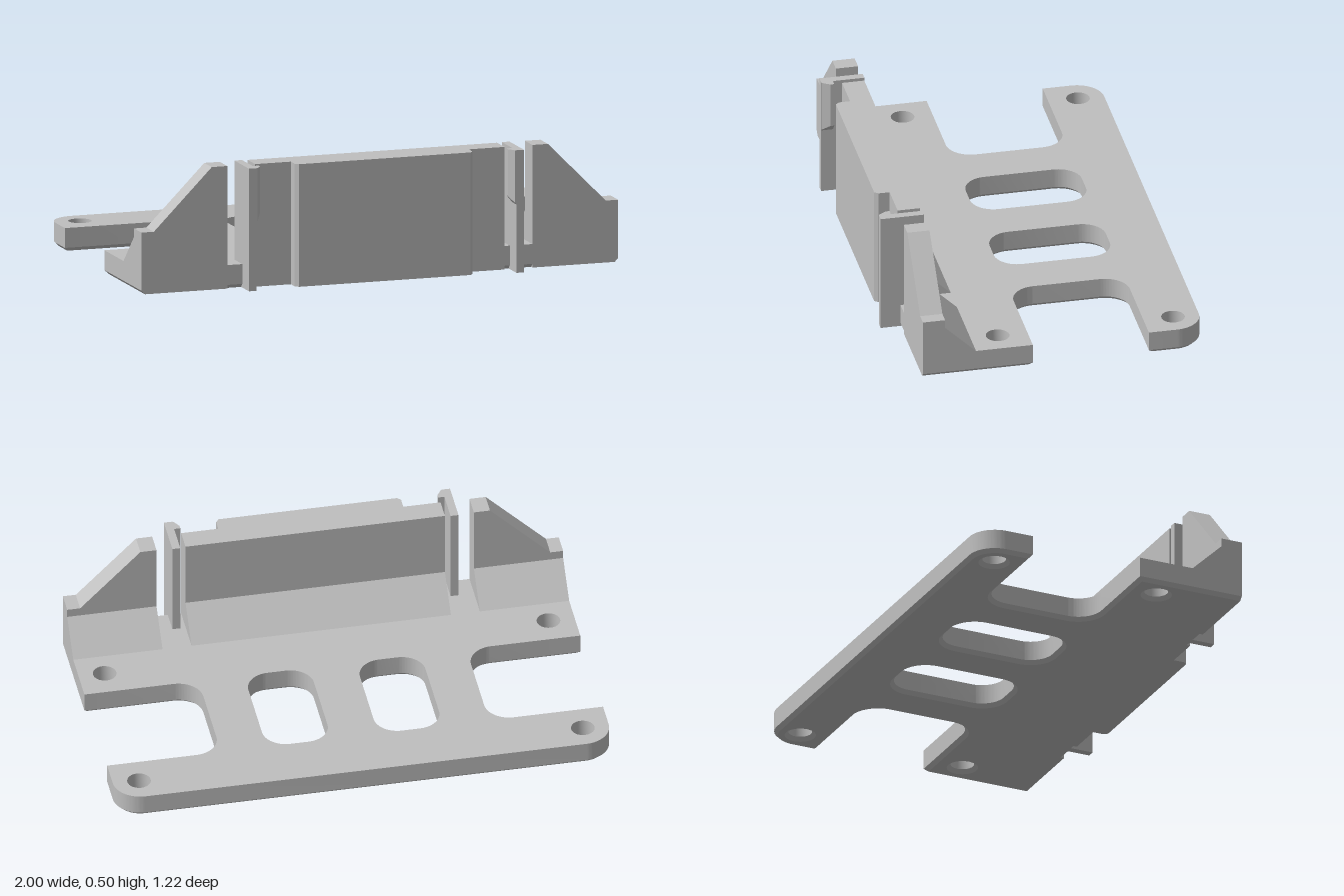
import * as THREE from 'three';
import { toCreasedNormals } from 'three/addons/utils/BufferGeometryUtils.js';

const grey = new THREE.MeshStandardMaterial({ color: 0xbfbfbf });
grey.name = 'grey plastic';

const T = 0.095, C = 0.015, H = 0.495; // plate thickness, bottom chamfer, wall height
const poly = (pts) => new THREE.Shape(pts.map(([x, y]) => new THREE.Vector2(x, y)));
const flat = { bevelEnabled: false };

function add(group, name, geometry) {
  const mesh = new THREE.Mesh(geometry, grey);
  mesh.name = name;
  group.add(mesh);
}

// Prism standing on y0, from an outline of [x, z] points
function upright(pts, y0, y1) {
  const g = new THREE.ExtrudeGeometry(poly(pts.map(([x, z]) => [x, -z])), { depth: y1 - y0, ...flat });
  return g.rotateX(-Math.PI / 2).translate(0, y0, 0);
}

function box(x0, x1, y0, y1, z0, z1) {
  return new THREE.BoxGeometry(x1 - x0, y1 - y0, z1 - z0)
    .translate((x0 + x1) / 2, (y0 + y1) / 2, (z0 + z1) / 2);
}

// Sloped rib along the back of the wall
function fillet(x0, x1) {
  const s = poly([[-0.315, T], [-0.44, 0.215], [-0.45, 0.215], [-0.45, T - 0.01], [-0.315, T - 0.01]]);
  return new THREE.ExtrudeGeometry(s, { depth: x1 - x0, ...flat }).rotateY(Math.PI / 2).translate(x0, 0, 0);
}

// Base plate with side notches, two slots and four screw holes (shape y = -z)
function plateGeometry() {
  const s = new THREE.Shape();
  const r = 0.1, xi = 0.54, back = 0.385, front = -0.085;
  s.moveTo(-1, -0.53).lineTo(1, -0.53).lineTo(1, front).lineTo(xi + r, front);
  s.absarc(xi + r, front + r, r, -Math.PI / 2, -Math.PI, true);
  s.absarc(xi + r, back - r, r, Math.PI, Math.PI / 2, true);
  s.lineTo(1, back);
  s.absarc(0.89, 0.5, 0.11, 0, Math.PI / 2, false);
  s.absarc(-0.89, 0.5, 0.11, Math.PI / 2, Math.PI, false);
  s.lineTo(-1, back);
  s.absarc(-xi - r, back - r, r, Math.PI / 2, 0, true);
  s.absarc(-xi - r, front + r, r, 0, -Math.PI / 2, true);
  s.lineTo(-1, front);
  for (const m of [-1, 1]) {
    for (const y of [0.505, -0.205]) {
      const hole = new THREE.Path();
      hole.absarc(m * 0.895, y, 0.047, 0, Math.PI * 2, true);
      s.holes.push(hole);
    }
    const slot = new THREE.Path(), q = 0.095;
    const xa = m * 0.225 - 0.132 + q, xb = m * 0.225 + 0.132 - q;
    slot.absarc(xa, back - q, q, Math.PI, Math.PI / 2, true);
    slot.absarc(xb, back - q, q, Math.PI / 2, 0, true);
    slot.absarc(xb, front + q, q, 0, -Math.PI / 2, true);
    slot.absarc(xa, front + q, q, -Math.PI / 2, -Math.PI, true);
    s.holes.push(slot);
  }
  const depth = T - C;
  const g = new THREE.ExtrudeGeometry(s, {
    depth, curveSegments: 14, bevelEnabled: true, bevelSegments: 1,
    bevelThickness: C, bevelSize: C, bevelOffset: -C,
  });
  // Keep the chamfer on the underside only
  const p = g.attributes.position;
  for (let i = 0; i < p.count; i++) if (p.getZ(i) > depth) p.setZ(i, depth);
  g.rotateX(-Math.PI / 2).translate(0, C, 0);
  return toCreasedNormals(g, 0.5);
}

// Hook at the front of a clip, its lower end sloping into the arm
function hookGeometry(m) {
  const y0 = 0.27;
  const g = upright([[0.55, 0.562], [0.52, 0.562], [0.52, 0.578], [0.54, 0.609], [0.55, 0.609]]
    .map(([x, z]) => [m * x, z]), y0, H);
  const p = g.attributes.position;
  for (let i = 0; i < p.count; i++) {
    if (p.getY(i) < y0 + 0.01) p.setY(i, y0 + (0.55 - Math.abs(p.getX(i))) * 1.2);
  }
  g.computeVertexNormals();
  return g;
}

export function createModel() {
  const model = new THREE.Group();
  model.name = 'mountingBracket';

  add(model, 'basePlate', plateGeometry());

  // Centre wall with its raised front pad
  add(model, 'centreWall', box(-0.523, 0.523, 0, H, 0.44, 0.53));
  add(model, 'centreFillet', fillet(-0.523, 0.523));
  add(model, 'frontPad', upright([[-0.373, 0.52], [0.373, 0.52], [0.373, 0.575],
    [0.36, 0.59], [-0.36, 0.59], [-0.373, 0.575]], 0, H));

  for (const m of [1, -1]) {
    const side = m > 0 ? 'left' : 'right';
    // Sloped end wall
    const wing = poly([[0.64, 0], [1 - C, 0], [1, C], [1, 0.25], [0.948, 0.25], [0.705, H], [0.64, H]]
      .map(([x, y]) => [m * x, y]));
    add(model, side + 'EndWall', new THREE.ExtrudeGeometry(wing, { depth: 0.09, ...flat }).translate(0, 0, 0.44));
    add(model, side + 'EndFillet', m > 0 ? fillet(0.64, 1) : fillet(-1, -0.64));
    // Snap clip
    add(model, side + 'ClipArm', m > 0 ? box(0.545, 0.577, 0, H, 0.435, 0.61) : box(-0.577, -0.545, 0, H, 0.435, 0.61));
    add(model, side + 'ClipHook', hookGeometry(m));
  }
  return model;
}
